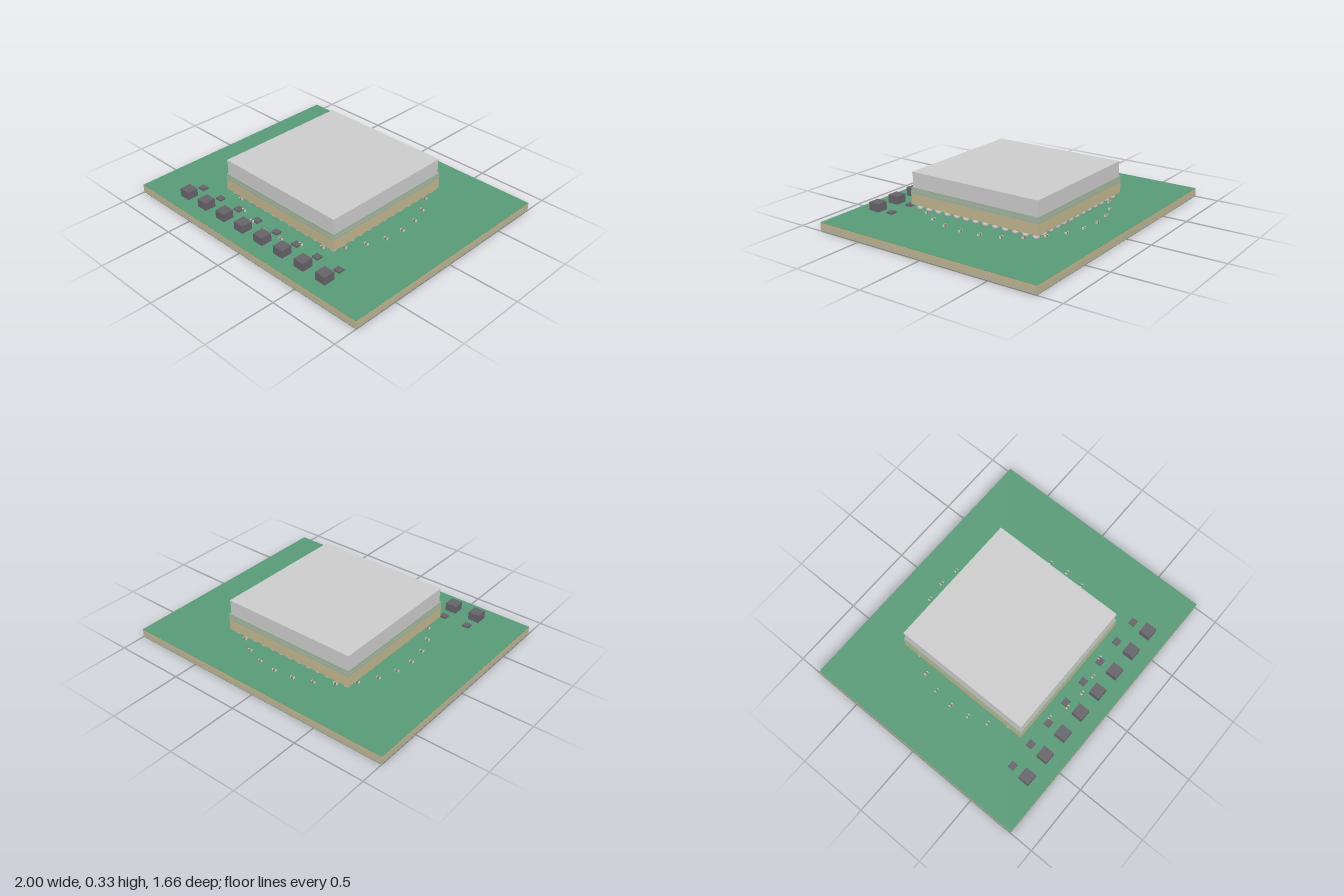
import * as THREE from 'three';

const mat = (color) => new THREE.MeshStandardMaterial({ color });
const GREY = mat(0xcccccc);
const GREEN = mat(0x589a77);
const TAN = mat(0xc2b68e);
const PALE = mat(0xb9b59a);
const OLIVE = mat(0x66655a);
const MINT = mat(0xa3b5a0);
const DARK = mat(0x666369);
const BROWN = mat(0x8c7a64);

// Box spanning y0..y1, centred on (x, z)
function slab(parent, name, material, w, d, y0, y1, x = 0, z = 0) {
  const mesh = new THREE.Mesh(new THREE.BoxGeometry(w, y1 - y0, d), material);
  mesh.position.set(x, (y0 + y1) / 2, z);
  mesh.name = name;
  parent.add(mesh);
  return mesh;
}

function subgroup(parent, name) {
  const g = new THREE.Group();
  g.name = name;
  parent.add(g);
  return g;
}

// Four walls around a square: front and back run full width, sides fit between
function frame(parent, name, material, half, thick, y0, y1) {
  const g = subgroup(parent, name);
  for (const s of [-1, 1]) {
    const c = s * (half - thick / 2);
    slab(g, name + 'Side', material, thick, 2 * (half - thick), y0, y1, c, 0);
    slab(g, name + 'End', material, 2 * half, thick, y0, y1, 0, c);
  }
}

export function createModel() {
  const model = new THREE.Group();
  model.name = 'circuitBoardAssembly';

  // Main board: laminate layers with a green top and dark underside
  const board = subgroup(model, 'board');
  slab(board, 'boardUnderside', OLIVE, 2, 1.66, 0, 0.002);
  slab(board, 'lowerLaminate', PALE, 2, 1.66, 0.002, 0.031);
  slab(board, 'upperLaminate', TAN, 2, 1.66, 0.031, 0.058);
  slab(board, 'solderMask', GREEN, 2, 1.66, 0.058, 0.06);

  // Grid of solder balls under the chip package
  const balls = subgroup(model, 'solderBalls');
  const ballGeo = new THREE.SphereGeometry(0.0225, 14, 10);
  const pitch = 0.0764;
  for (let i = -6; i <= 6; i++) {
    for (let j = -6; j <= 6; j++) {
      const ball = new THREE.Mesh(ballGeo, GREY);
      ball.name = 'solderBall';
      ball.position.set(i * pitch, 0.0825, j * pitch);
      balls.add(ball);
    }
  }

  // Chip package: substrate, die, and a lid with a foot flange
  const chip = subgroup(model, 'chipPackage');
  slab(chip, 'substrate', TAN, 1, 1, 0.105, 0.18);
  slab(chip, 'substrateMask', MINT, 1, 1, 0.18, 0.2);
  slab(chip, 'die', DARK, 0.5, 0.5, 0.2, 0.316);
  frame(chip, 'lidFoot', MINT, 0.498, 0.055, 0.2, 0.223);
  frame(chip, 'lidWall', GREY, 0.49, 0.043, 0.223, 0.316);
  slab(chip, 'lidTop', GREY, 0.984, 0.984, 0.316, 0.327);

  // Ring of tiny capacitors around the package, with metal end caps
  const ring = subgroup(model, 'capacitorRing');
  const count = 28;
  for (let i = 0; i < count; i++) {
    const a = (i / count) * Math.PI * 2;
    const x = 0.617 * Math.sin(a);
    const z = 0.617 * Math.cos(a);
    slab(ring, 'capacitorBody', BROWN, 0.016, 0.013, 0.06, 0.073, x, z);
    for (const s of [-1, 1]) {
      slab(ring, 'capacitorTerminal', GREY, 0.006, 0.014, 0.06, 0.074, x + s * 0.011, z);
    }
  }

  // Front row: power inductors, each with a small switch chip behind
  const power = subgroup(model, 'powerStage');
  for (let i = 0; i < 8; i++) {
    const x = -0.668 + i * 0.1833;
    slab(power, 'inductor', DARK, 0.08, 0.08, 0.06, 0.117, x, 0.692);
    slab(power, 'switchChip', DARK, 0.048, 0.044, 0.06, 0.073, x, 0.573);
  }

  return model;
}
